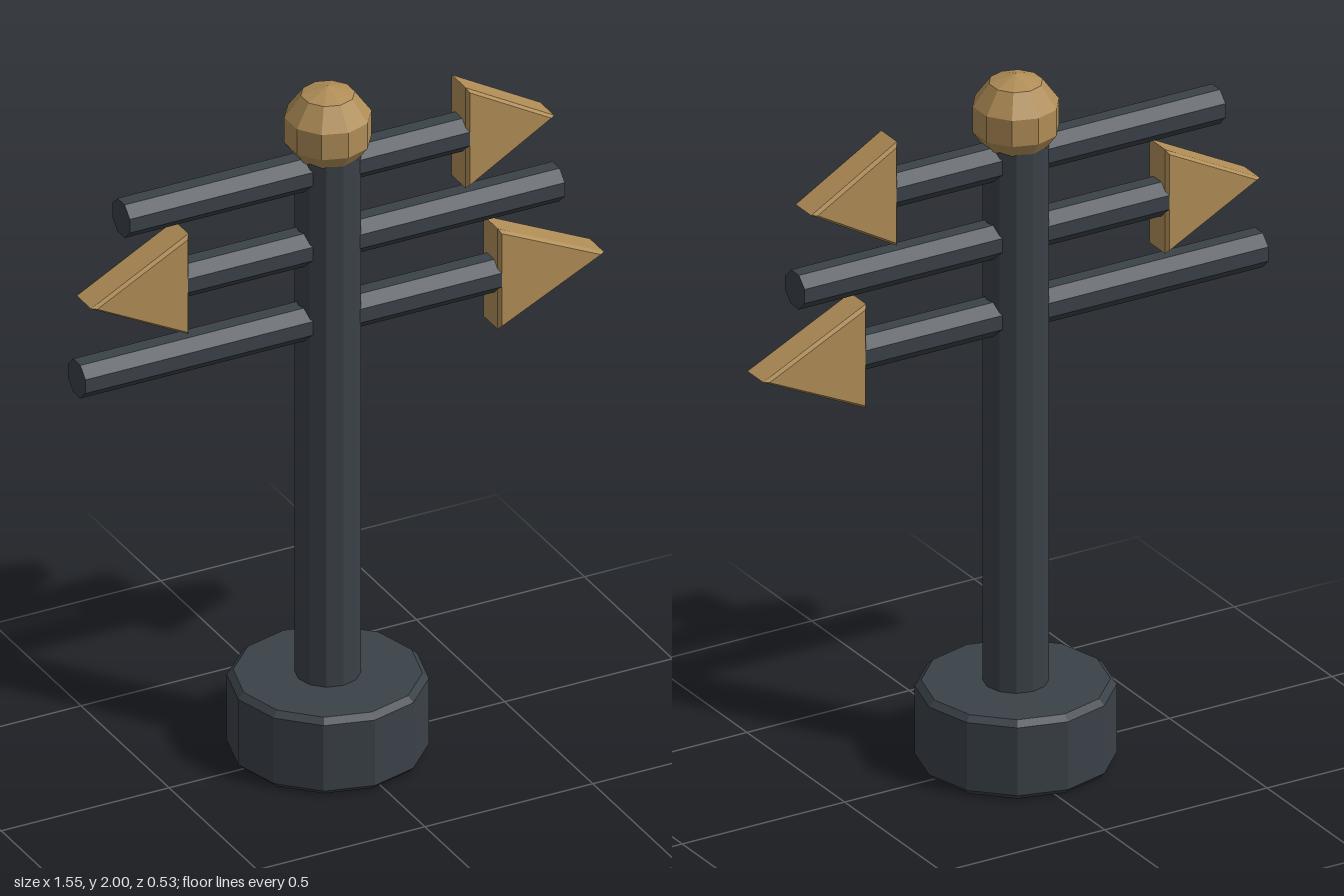
import * as THREE from 'three';

const POST_X = -0.027;

export function createModel() {
  const model = new THREE.Group();
  model.name = 'signpost';

  const iron = new THREE.MeshStandardMaterial({ color: 0x3a4148 });
  iron.name = 'dark iron';
  const bronze = new THREE.MeshStandardMaterial({ color: 0xb08d57 });
  bronze.name = 'bronze';
  iron.flatShading = bronze.flatShading = true;

  const add = (parent, name, geometry, material, x, y) => {
    const mesh = new THREE.Mesh(geometry, material);
    mesh.name = name;
    mesh.position.set(x, y, 0);
    parent.add(mesh);
    return mesh;
  };

  // Twelve-sided foot with bevelled rims
  const footProfile = [[0, 0], [0.25, 0], [0.267, 0.016], [0.267, 0.214], [0.25, 0.23], [0, 0.23]]
    .map(([r, y]) => new THREE.Vector2(r, y));
  add(model, 'base', new THREE.LatheGeometry(footProfile, 12), iron, POST_X, 0);

  // Upright post and faceted ball on top
  add(model, 'post', new THREE.CylinderGeometry(0.088, 0.088, 1.62, 12), iron, POST_X, 1.01);
  const ball = new THREE.SphereGeometry(0.123, 10, 5).rotateY(Math.PI / 2);
  add(model, 'finial', ball, bronze, POST_X, 1.877);

  // Triangular arrowhead with bevelled edges, base at x = 0, pointing to +x
  const arrowhead = (length) => {
    const bevel = 0.01;
    const outline = new THREE.Shape([
      new THREE.Vector2(0, -0.152),
      new THREE.Vector2(length, 0),
      new THREE.Vector2(0, 0.152),
    ]);
    return new THREE.ExtrudeGeometry(outline, {
      depth: 0.1 - 2 * bevel,
      bevelEnabled: true,
      bevelThickness: bevel,
      bevelSize: bevel,
      bevelOffset: -bevel,
      bevelSegments: 1,
    }).translate(0, 0, -0.05 + bevel);
  };

  // Octagonal arms: height, plain end, arrow base, arrow tip
  const arms = [
    ['upperArm', 1.76, -0.643, 0.363, 0.627],
    ['middleArm', 1.534, 0.653, -0.463, -0.754],
    ['lowerArm', 1.309, -0.775, 0.458, 0.775],
  ];
  for (const [name, y, end, base, tip] of arms) {
    const arm = new THREE.Group();
    arm.name = name;
    const dir = Math.sign(tip - base);
    const inner = base + dir * 0.03;
    const bar = new THREE.CylinderGeometry(0.054, 0.054, Math.abs(inner - end), 8)
      .rotateY(Math.PI / 8)
      .rotateZ(Math.PI / 2);
    add(arm, 'bar', bar, iron, (inner + end) / 2, y);
    const head = add(arm, 'arrowhead', arrowhead(Math.abs(tip - base)), bronze, base, y);
    if (dir < 0) head.rotation.y = Math.PI;
    model.add(arm);
  }

  return model;
}
